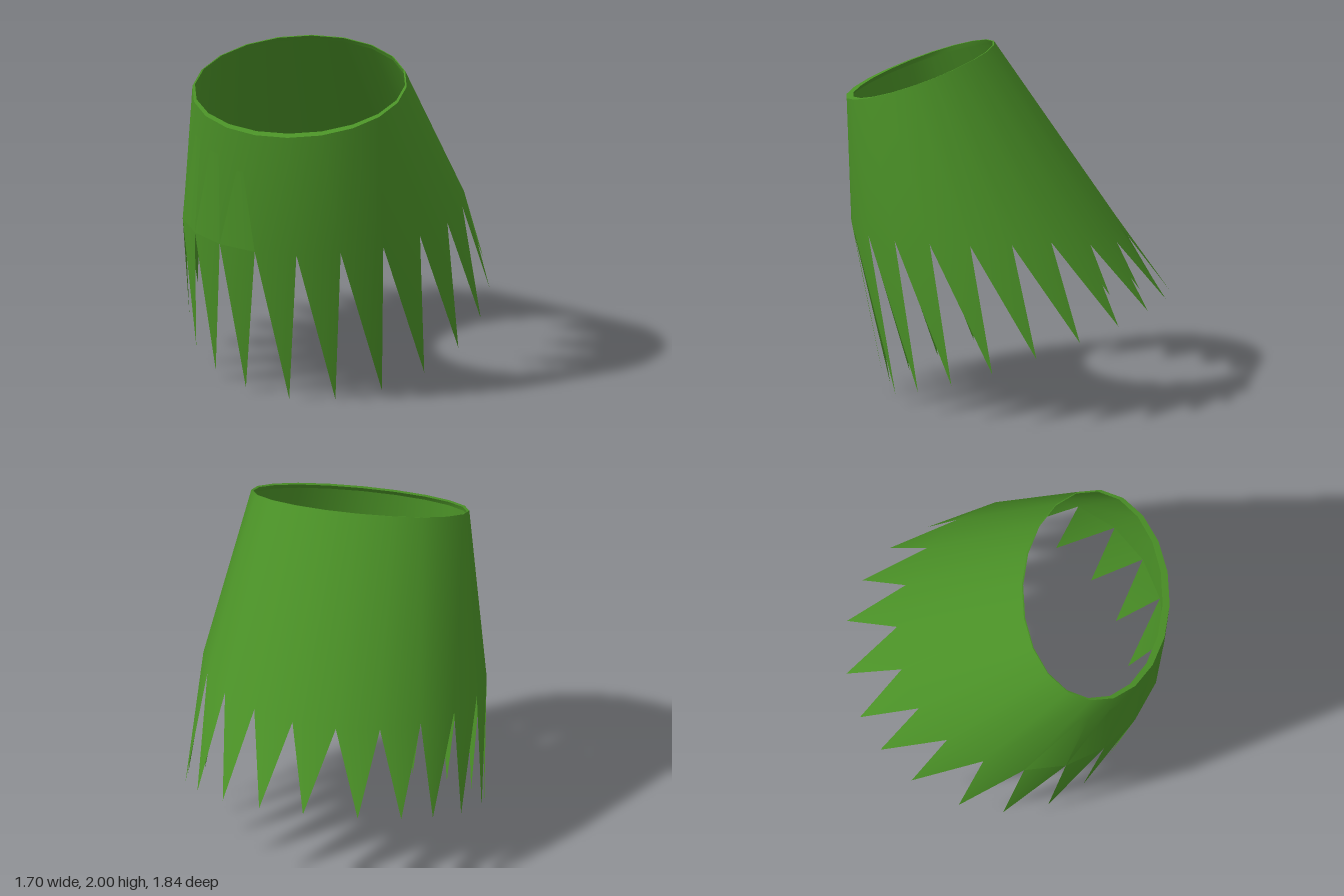
import * as THREE from 'three';

const SIDES = 20;

// Tilted ellipse: centre c, sideways half-axis u, forward half-axis v, first angle in degrees,
// with optional small angle offsets per point
function ring(c, u, v, startDeg, nudges = {}) {
  const points = [];
  for (let i = 0; i < SIDES; i++) {
    const a = THREE.MathUtils.degToRad(startDeg + i * 360 / SIDES + (nudges[i] ?? 0));
    points.push([0, 1, 2].map(k => c[k] + u[k] * Math.sin(a) + v[k] * Math.cos(a)));
  }
  return points;
}

// Joins rings by a rule giving the triangles of each side; smooth normals
function surface(rings, faces, material, name) {
  const geometry = new THREE.BufferGeometry();
  geometry.setAttribute('position', new THREE.Float32BufferAttribute(rings.flat(2), 3));
  const index = [];
  for (let i = 0; i < SIDES; i++) {
    const at = (r, step) => r * SIDES + (i + step) % SIDES;
    faces(at).forEach(f => index.push(...f));
  }
  geometry.setIndex(index);
  geometry.computeVertexNormals();
  const mesh = new THREE.Mesh(geometry, material);
  mesh.name = name;
  return mesh;
}

export function createModel() {
  const green = new THREE.MeshStandardMaterial({ color: 0x4b9227, side: THREE.DoubleSide });
  green.name = 'leaf green';

  const top = ring([-0.125, 1.846, 0.5], [0.62, 0.045, 0.02], [0, -0.15, 0.42], 0);
  const lip = ring([-0.125, 1.85, 0.484], [0.608, 0.045, 0.02], [0, -0.144, 0.396], 0);
  const underLip = ring([-0.125, 1.82, 0.486], [0.614, 0.045, 0.02], [0, -0.147, 0.418], 0);
  const notches = ring([-0.05, 0.982, 0.13], [0.806, 0.05, 0], [0, -0.01, 0.76], -2);
  const tips = ring([0, 0.299, -0.122], [0.853, 0.06, 0], [0, -0.291, 0.808], 7.5,
    { 10: 3, 11: 2.5, 12: -1, 13: -2.5, 16: 1, 18: -1 });

  const model = new THREE.Group();
  model.name = 'leafCollar';

  // Tapered wall running down into one pointed leaf per side
  model.add(surface([top, notches, tips], at => [
    [at(1, 0), at(1, 1), at(0, 1)],
    [at(1, 0), at(0, 1), at(0, 0)],
    [at(2, 0), at(1, 1), at(1, 0)],
  ], green, 'outerWallAndLeaves'));

  // Rim and inside, each facing up or inwards
  const band = at => [
    [at(0, 0), at(0, 1), at(1, 1)],
    [at(0, 0), at(1, 1), at(1, 0)],
  ];
  model.add(surface([top, lip], band, green, 'topRim'));
  model.add(surface([lip, underLip], band, green, 'rimUnderside'));
  model.add(surface([underLip, notches], band, green, 'innerWall'));

  return model;
}
